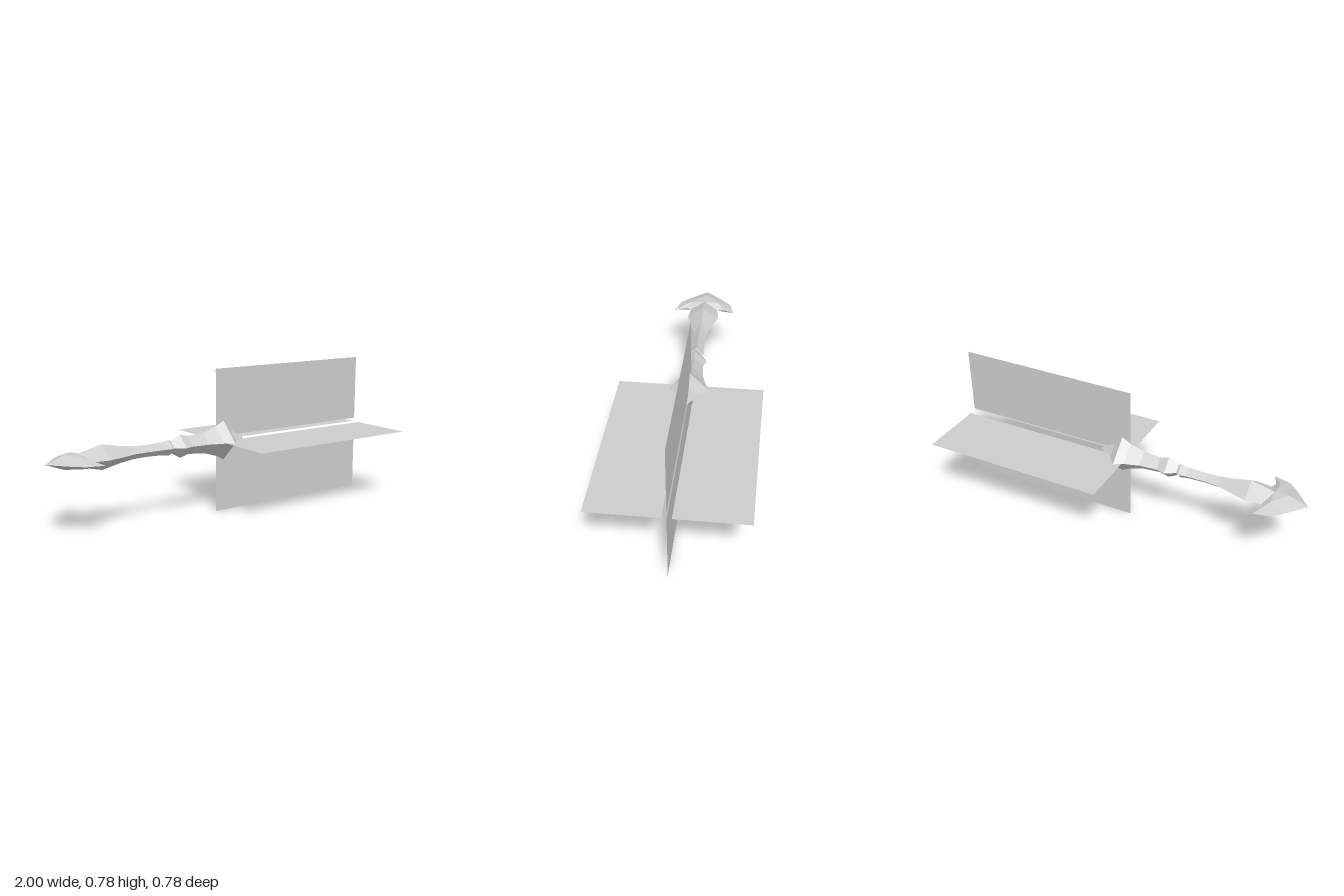
import * as THREE from 'three';

const AXIS_Y = 0.39;

// Builds a faceted body from triangles of one quarter (y >= 0, z >= 0), mirrored four ways.
function mirroredBody(triangles) {
  const pos = [];
  for (const sy of [1, -1]) {
    for (const sz of [1, -1]) {
      for (const tri of triangles) {
        const [a, b, c] = tri.map(([x, y, z]) => new THREE.Vector3(x, y * sy, z * sz));
        const n = b.clone().sub(a).cross(c.clone().sub(a));
        if (n.length() < 1e-9) continue;
        // every facet faces away from the middle plane
        const order = n.y * sy > 0 ? [a, b, c] : [a, c, b];
        for (const v of order) pos.push(v.x, v.y, v.z);
      }
    }
  }
  const geo = new THREE.BufferGeometry();
  geo.setAttribute('position', new THREE.Float32BufferAttribute(pos, 3));
  geo.computeVertexNormals();
  return geo;
}

// Diamond-section body; each section is [x, half height, half width].
function diamondLoft(sections) {
  const tris = [];
  for (let i = 0; i < sections.length - 1; i++) {
    const [x0, h0, w0] = sections[i];
    const [x1, h1, w1] = sections[i + 1];
    const top0 = [x0, h0, 0], side0 = [x0, 0, w0];
    const top1 = [x1, h1, 0], side1 = [x1, 0, w1];
    tris.push([top0, side0, side1], [top0, side1, top1]);
  }
  return mirroredBody(tris);
}

export function createModel() {
  const group = new THREE.Group();
  const grey = new THREE.MeshStandardMaterial({ color: 0xcccccc, flatShading: true });
  grey.name = 'lightGrey';
  const plateGrey = new THREE.MeshStandardMaterial({ color: 0xcccccc, side: THREE.DoubleSide });
  plateGrey.name = 'plateGrey';

  const add = (name, geo, mat) => {
    const mesh = new THREE.Mesh(geo, mat);
    mesh.name = name;
    mesh.position.y = AXIS_Y;
    group.add(mesh);
    return mesh;
  };

  // Handle swelling towards the barbed head
  add('handle', diamondLoft([
    [-0.7, 0.065, 0.09], [-0.6, 0.044, 0.06], [-0.53, 0.034, 0.039],
    [-0.46, 0.031, 0.034], [-0.36, 0.034, 0.036], [-0.315, 0.042, 0.042],
    [-0.3, 0.032, 0.032],
  ]), grey);

  // Collar and flared pommel
  add('collar', diamondLoft([
    [-0.3, 0.032, 0.032], [-0.245, 0.062, 0.064], [-0.195, 0.048, 0.05],
  ]), grey);
  add('pommel', diamondLoft([
    [-0.195, 0.048, 0.05], [-0.1, 0.056, 0.058], [-0.02, 0.08, 0.082],
    [0.03, 0.106, 0.11], [0.075, 0.053, 0.054], [0.16, 0, 0],
  ]), grey);

  // Barbed head: rim points, spine points and the barb ridge
  const tip = [-1, 0, 0];
  const rimA = [-0.915, 0, 0.1], rimB = [-0.86, 0, 0.152], barb = [-0.77, 0, 0.175];
  const notchA = [-0.795, 0, 0.115], notchB = [-0.785, 0, 0.08], neck = [-0.7, 0, 0.09];
  const spineA = [-0.9, 0.037, 0], spineB = [-0.825, 0.035, 0], spineC = [-0.7, 0.065, 0];
  const ridge = [-0.83, 0.027, 0.08];
  add('barbedHead', mirroredBody([
    [tip, rimA, spineA], [rimA, ridge, spineA], [rimA, rimB, ridge],
    [rimB, barb, ridge], [barb, notchA, ridge], [notchA, notchB, ridge],
    [ridge, notchB, spineB], [ridge, spineB, spineA],
    [notchB, spineC, spineB], [notchB, neck, spineC],
  ]), grey);

  // Four thin plates crossed around the axis
  const plate = () => new THREE.PlaneGeometry(1.005, 0.364);
  for (const s of [1, -1]) {
    const upright = add(s > 0 ? 'upperPlate' : 'lowerPlate', plate(), plateGrey);
    upright.position.set(0.483, AXIS_Y + s * 0.206, 0);
    const flat = add(s > 0 ? 'frontPlate' : 'backPlate', plate(), plateGrey);
    flat.rotation.x = -Math.PI / 2;
    flat.position.set(0.495, AXIS_Y, s * 0.206 - 0.002);
  }
  return group;
}
